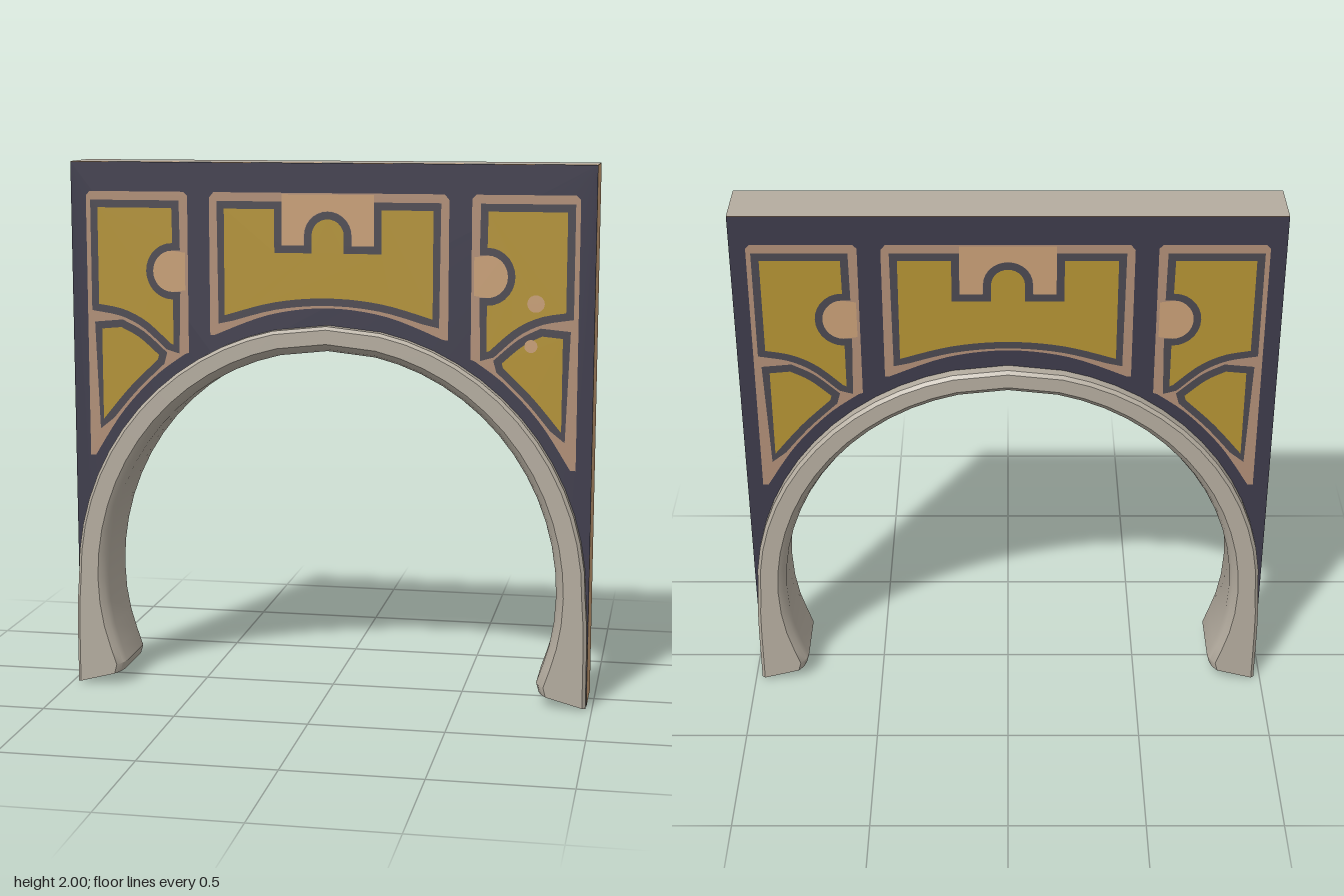
import * as THREE from 'three';
import { toCreasedNormals } from 'three/addons/utils/BufferGeometryUtils.js';

const mat = (name, color) => {
  const m = new THREE.MeshStandardMaterial({ color });
  m.name = name;
  return m;
};
const V = (x, y) => new THREE.Vector2(x, y);
const rad = THREE.MathUtils.degToRad;

// points on an arc, angles in degrees
function arc(cx, cy, rx, ry, from, to, n) {
  return Array.from({ length: n + 1 }, (_, i) => {
    const a = rad(from + ((to - from) * i) / n);
    return V(cx + rx * Math.cos(a), cy + ry * Math.sin(a));
  });
}

// smooth curve through a few points
const curve = (pts, n = 10) => new THREE.SplineCurve(pts).getPoints(n);

// grow a closed outline outwards by d
function offset(pts, d) {
  const s = THREE.ShapeUtils.isClockWise(pts) ? -1 : 1;
  return pts.map((p, i) => {
    const a = pts[(i + pts.length - 1) % pts.length], b = pts[(i + 1) % pts.length];
    const e = p.clone().sub(a).normalize(), f = b.clone().sub(p).normalize();
    const n1 = V(e.y, -e.x), n2 = V(f.y, -f.x);
    const n = n1.clone().add(n2).normalize();
    const k = Math.min(1 / Math.max(n.dot(n1), 0.1), 1.42);
    return p.clone().addScaledVector(n, s * d * k);
  });
}

const mirrorX = (pts) => pts.map((p) => V(-p.x, p.y)).reverse();

// arch moulding: rounded section swept between an inner and an outer curve
function archGeometry() {
  const half = [
    [V(0.8, 0.05), V(0.976, 0.003)],
    [V(0.79, 0.085), V(0.976, 0.04)],
    [V(0.812, 0.15), V(0.976, 0.12)],
    [V(0.836, 0.23), V(0.976, 0.22)],
    [V(0.852, 0.32), V(0.974, 0.32)],
  ];
  const angles = Array.from({ length: 14 }, (_, i) => i * 6).concat(90);
  for (const deg of angles) {
    const c = Math.cos(rad(deg)), s = Math.sin(rad(deg));
    half.push([V(0.858 * c, 0.42 + 0.89 * s), V(0.967 * c, 0.42 + 0.985 * s)]);
  }
  const other = half.slice(0, -1).reverse().map((st) => st.map((p) => V(-p.x, p.y)));
  const stations = half.concat(other);
  const pos = [], idx = [];
  let n = 0;
  for (const [I, O] of stations) {
    const w = I.distanceTo(O), dir = O.clone().sub(I).normalize();
    const side = [[w, 0.143], [w - 0.012, 0.155], [0.03, 0.155], [0.01, 0.137], [0, 0.11]];
    const loop = side.concat(side.map(([u, z]) => [u, -z]).reverse());
    n = loop.length;
    for (const [u, z] of loop) pos.push(I.x + dir.x * u, I.y + dir.y * u, z);
  }
  const last = (stations.length - 1) * n;
  for (let i = 0; i < last; i += n) {
    for (let j = 0; j < n; j++) {
      const k = (j + 1) % n;
      idx.push(i + j, i + n + j, i + n + k, i + j, i + n + k, i + k);
    }
  }
  // foot caps
  for (let j = 1; j < n - 1; j++) idx.push(0, j, j + 1, last, last + j + 1, last + j);
  const g = new THREE.BufferGeometry();
  g.setAttribute('position', new THREE.Float32BufferAttribute(pos, 3));
  g.setIndex(idx);
  return toCreasedNormals(g, 0.55);
}

export function createModel() {
  const model = new THREE.Group();
  model.name = 'archway';
  const navy = mat('navy wall', 0x3d3b4b);
  const tan = mat('tan edge', 0xc89f76);
  const border = mat('muted tan border', 0xb08e76);
  const outline = mat('dark outline', 0x4b4850);
  const gold = mat('gold panel', 0xb39233);
  const stone = mat('pale stone', 0xb4ac9f);

  const add = (parent, name, geo, material) => {
    const m = new THREE.Mesh(geo, material);
    m.name = name;
    parent.add(m);
    return m;
  };

  // wall with the arched opening
  const D = 0.105;
  const wallShape = new THREE.Shape([
    V(0.978, 0), V(0.978, 1.999), V(-0.978, 1.999), V(-0.978, 0), V(-0.85, 0.025), V(-0.89, 0.25),
    ...arc(0, 0.42, 0.91, 0.935, 180, 0, 40), V(0.89, 0.25), V(0.85, 0.025),
  ]);
  const wallGeo = new THREE.ExtrudeGeometry(wallShape, { depth: 2 * D, bevelEnabled: false });
  wallGeo.translate(0, 0, -D);
  add(model, 'wall', wallGeo, [navy, tan]);
  const top = add(model, 'wallTop', new THREE.PlaneGeometry(1.956, 2 * D), stone);
  top.rotation.x = -Math.PI / 2;
  top.position.y = 2;

  add(model, 'archMoulding', archGeometry(), stone);

  // centre panel outlines
  const centreBorder = [
    V(-0.43, 1.89), V(-0.447, 1.87), V(-0.447, 1.36),
    ...curve([V(-0.43, 1.36), V(-0.22, 1.44), V(0, 1.468), V(0.22, 1.44), V(0.43, 1.36)], 20),
    V(0.447, 1.36), V(0.447, 1.87), V(0.43, 1.89),
  ];
  const centreGold = [
    V(-0.2, 1.83), V(-0.39, 1.83),
    ...curve([V(-0.39, 1.435), V(-0.2, 1.487), V(0, 1.505), V(0.2, 1.487), V(0.39, 1.435)], 20),
    V(0.39, 1.83), V(0.2, 1.83), V(0.2, 1.67), V(0.06, 1.67),
    ...arc(0, 1.735, 0.06, 0.06, 0, 180, 14), V(-0.06, 1.67), V(-0.2, 1.67),
  ];
  const centreNotch = [
    V(-0.172, 1.885), V(-0.172, 1.698), V(-0.09, 1.698), V(-0.09, 1.735),
    ...arc(0, 1.735, 0.09, 0.09, 180, 0, 14),
    V(0.09, 1.698), V(0.172, 1.698), V(0.172, 1.885),
  ];
  // side panel outlines, model's left; the other side is mirrored
  const sideBorder = [
    V(0.545, 1.89), V(0.53, 1.875), V(0.53, 1.29),
    ...curve([V(0.545, 1.285), V(0.66, 1.2), V(0.79, 1.06), V(0.9, 0.89)], 14),
    V(0.92, 0.89), V(0.92, 1.875), V(0.905, 1.89),
  ];
  const upperGold = [
    V(0.59, 1.83), V(0.588, 1.7),
    ...arc(0.59, 1.595, 0.1, 0.105, 90, -90, 14), V(0.588, 1.49), V(0.588, 1.32),
    ...curve([V(0.6, 1.325), V(0.69, 1.405), V(0.78, 1.45), V(0.875, 1.468)]),
    V(0.875, 1.83),
  ];
  const lowerGold = [
    V(0.865, 1.375), ...curve([V(0.79, 1.382), V(0.72, 1.345), V(0.645, 1.28)], 8),
    ...curve([V(0.65, 1.262), V(0.76, 1.155), V(0.865, 1.03)], 8),
  ];
  const sideNotch = [V(0.54, 1.665), ...arc(0.59, 1.595, 0.073, 0.077, 90, -90, 14), V(0.54, 1.525)];

  // flat decorations on one face
  function decorate(face) {
    const plate = (name, pts, material, level) => {
      const m = add(face, name, new THREE.ShapeGeometry(new THREE.Shape(pts)), material);
      m.position.z = D + 0.002 * level;
    };
    const inlay = (name, pts) => {
      plate(name + 'Outline', offset(pts, 0.028), outline, 2);
      plate(name, pts, gold, 3);
    };
    plate('centreBorder', centreBorder, border, 1);
    inlay('centrePanel', centreGold);
    plate('centreNotch', centreNotch, tan, 3);
    for (const flip of [(p) => p, mirrorX]) {
      plate('sideBorder', flip(sideBorder), border, 1);
      inlay('upperSidePanel', flip(upperGold));
      inlay('lowerSidePanel', flip(lowerGold));
      plate('sideNotch', flip(sideNotch), tan, 3);
    }
  }
  const front = new THREE.Group();
  front.name = 'frontFace';
  const back = new THREE.Group();
  back.name = 'backFace';
  back.rotation.y = Math.PI;
  decorate(front);
  decorate(back);
  model.add(front, back);

  // worn spots on the front
  for (const [x, y, r] of [[0.766, 1.5, 0.032], [0.75, 1.345, 0.024]]) {
    add(front, 'wornSpot', new THREE.CircleGeometry(r, 14), tan).position.set(x, y, D + 0.008);
  }
  return model;
}
